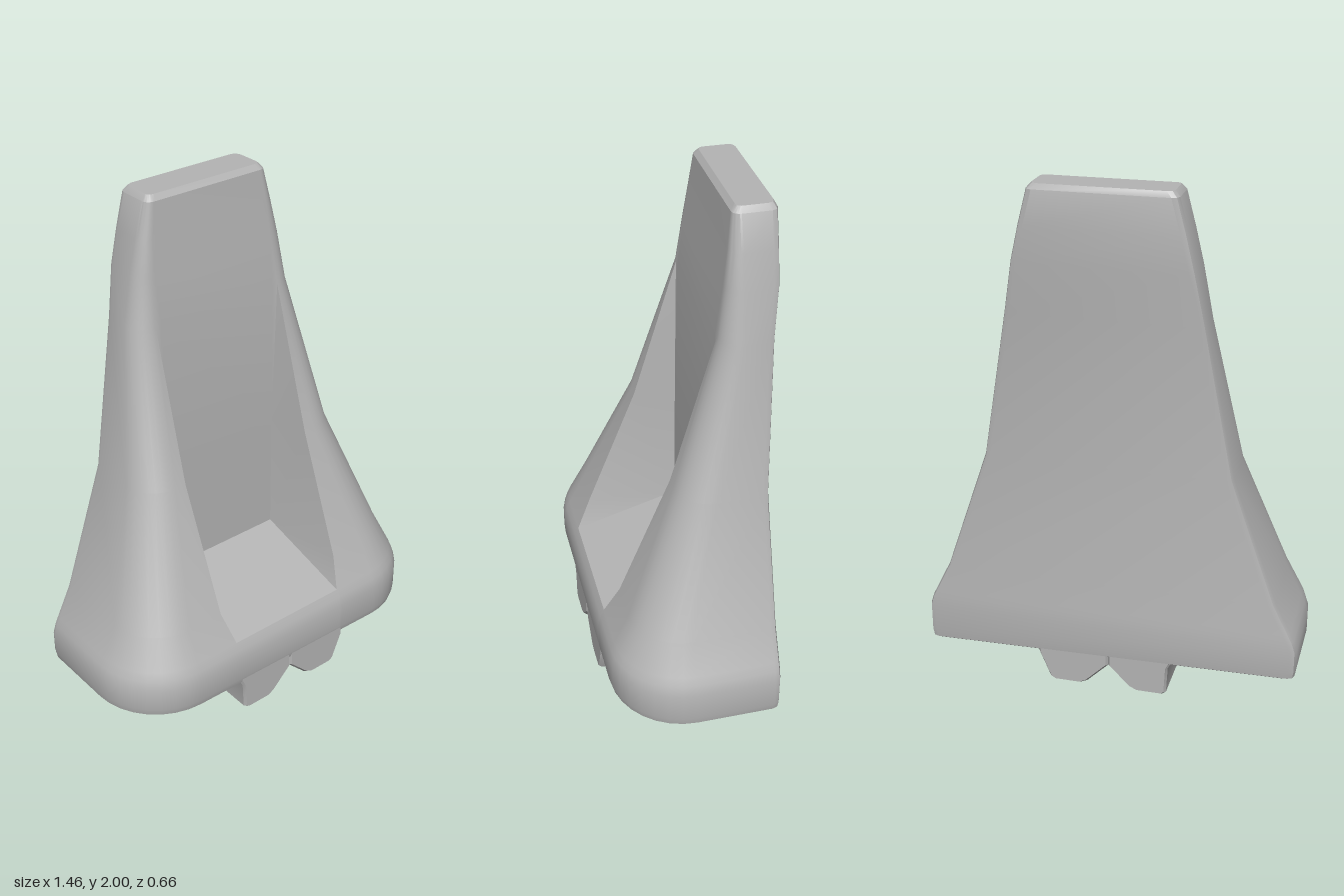
import * as THREE from 'three';
import { toCreasedNormals } from 'three/addons/utils/BufferGeometryUtils.js';

// Rows from bottom to top: height, half width, front z, back z, front corner radius,
// channel depth z, channel front half width
const ROWS = [
  [0.13, 0.705, 0.305, -0.255, 0.26, 0.305, 0.27],
  [0.142, 0.725, 0.322, -0.272, 0.275, 0.322, 0.27],
  [0.17, 0.73, 0.33, -0.275, 0.28, 0.33, 0.27],
  [0.27, 0.73, 0.33, -0.275, 0.28, 0.33, 0.27],
  [0.31, 0.717, 0.32, -0.275, 0.27, 0.32, 0.27],
  [0.34, 0.702, 0.305, -0.275, 0.255, 0.305, 0.27],
  [0.46, 0.642, 0.247, -0.275, 0.2, -0.11, 0.29],
  [0.95, 0.472, 0.05, -0.278, 0.13, -0.11, 0.295],
  [1.53, 0.367, -0.118, -0.308, 0.08, -0.118, 0.285],
  [1.72, 0.332, -0.14, -0.328, 0.06, -0.14, 0.265],
  [1.85, 0.302, -0.155, -0.33, 0.045, -0.155, 0.25],
  [1.98, 0.268, -0.168, -0.33, 0.03, -0.168, 0.235],
  [2.0, 0.25, -0.185, -0.32, 0.02, -0.185, 0.225],
];
const ARC = 8;

// One horizontal ring, running front, left side, back, right side
function ring([y, w, zf, zb, r, zc, xp]) {
  const half = [[Math.min(0.26, xp - 0.005), zc], [xp, zf]];
  for (let i = 0; i <= ARC; i++) {
    const a = (i / ARC) * Math.PI / 2;
    half.push([w - r + r * Math.sin(a), zf - r + r * Math.cos(a)]);
  }
  half.push([w, zb + 0.025], [w - 0.007, zb + 0.007], [w - 0.025, zb]);
  const other = half.map(([x, z]) => [-x, z]).reverse();
  // The underside is slightly tilted
  const tilt = y < 0.2 ? -0.02 : 0;
  return [...half, ...other].map(([x, z]) => [x, y + tilt * x, z]);
}

function bodyGeometry() {
  const rings = ROWS.map(ring);
  const n = rings[0].length;
  const pos = rings.flat(2);
  const index = [];
  for (let k = 0; k < rings.length - 1; k++) {
    for (let i = 0; i < n; i++) {
      const j = (i + 1) % n;
      const a = k * n + i, b = k * n + j, c = a + n, d = b + n;
      // Mirror the diagonal on the right half
      if (i < n / 2) index.push(a, b, d, a, d, c);
      else index.push(a, b, c, b, d, c);
    }
  }
  // Flat caps
  const top = (rings.length - 1) * n;
  for (let i = 1; i < n - 1; i++) {
    index.push(0, i + 1, i);
    index.push(top, top + i, top + i + 1);
  }
  const g = new THREE.BufferGeometry();
  g.setAttribute('position', new THREE.Float32BufferAttribute(pos, 3));
  g.setIndex(index);
  return toCreasedNormals(g, 0.5);
}

// Foot rail with a sloped inner side, running front to back
function footGeometry(side) {
  const outer = side > 0
    ? [[0.215, 0], [0.235, 0.012], [0.28, 0.12], [0.28, 0.2]]
    : [[0.215, 0], [0.232, 0.012], [0.238, 0.12], [0.255, 0.155], [0.255, 0.2]];
  const pts = [[0, 0.2], [0, 0.098], [0.085, 0.014], [0.115, 0], ...outer];
  const shape = new THREE.Shape(pts.map(([x, y]) => new THREE.Vector2(x * side, y)));
  const g = new THREE.ExtrudeGeometry(shape, {
    depth: 0.575, bevelEnabled: true, bevelThickness: 0.012,
    bevelSize: 0.008, bevelOffset: -0.008, bevelSegments: 1,
  });
  g.translate(0, 0, -0.26);
  return toCreasedNormals(g, 0.5);
}

export function createModel() {
  const group = new THREE.Group();
  const grey = new THREE.MeshStandardMaterial({ color: 0xb4b4b4 });
  grey.name = 'plain grey';

  const add = (name, geometry) => {
    const mesh = new THREE.Mesh(geometry, grey);
    mesh.name = name;
    group.add(mesh);
  };

  add('body', bodyGeometry());
  add('leftFoot', footGeometry(1));
  add('rightFoot', footGeometry(-1));
  return group;
}
